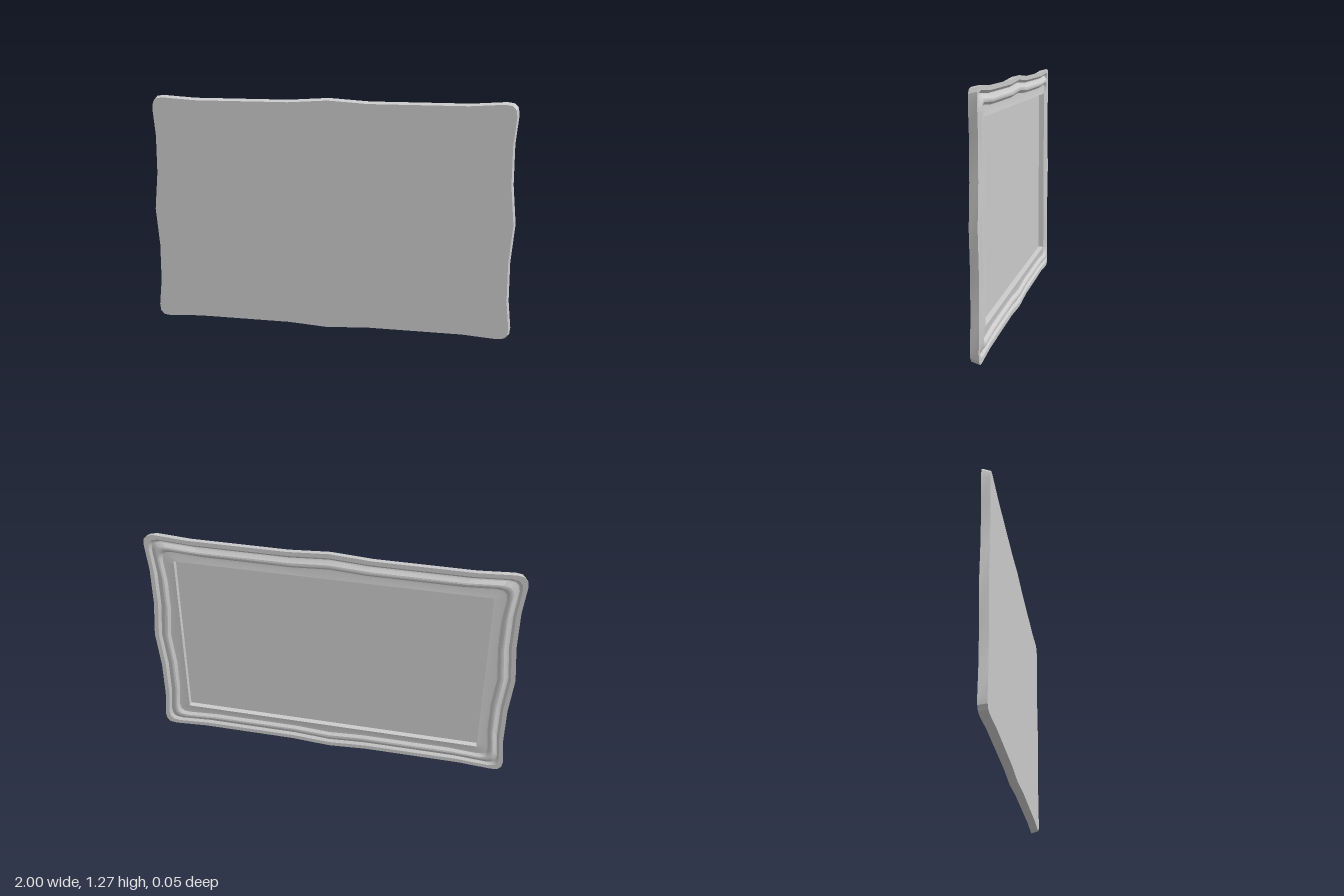
import * as THREE from 'three';
import { toCreasedNormals } from 'three/addons/utils/BufferGeometryUtils.js';

const HALF_W = 1, HALF_H = 0.637;

// One quarter of the wavy outline, from the right side's middle up to the top's middle
const QUARTER = [
  [1, 0], [0.981, 0.21], [0.981, 0.42], [0.996, 0.57], [0.991, 0.608],
  [0.972, 0.629], [0.935, 0.635], [0.75, 0.623], [0.22, 0.623], [0, 0.637],
];

// Mirror a quarter into a closed counter-clockwise loop
function mirrorLoop(q) {
  const flip = (pts, sx, sy) => pts.map(([x, y]) => [x * sx, y * sy]);
  const back = q.slice().reverse();
  return [
    ...q.slice(0, -1),
    ...flip(back, -1, 1).slice(0, -1),
    ...flip(q, -1, -1).slice(0, -1),
    ...flip(back, 1, -1).slice(0, -1),
  ];
}

// Wavy loop moved inward by d, at depth z
function wavyRing(d, z) {
  const sx = 1 - d / HALF_W, sy = 1 - d / HALF_H;
  return mirrorLoop(QUARTER).map(([x, y]) => [x * sx, y * sy + HALF_H, z]);
}

// Straight rectangular loop with the same number of points
function rectRing(w, h, z) {
  const q = QUARTER.map(([x, y], i) => (i < 4 ? [w, y * h / 0.608]
    : i < 6 ? [w, h] : [x * w / 0.972, h]));
  return mirrorLoop(q).map(([x, y]) => [x, y + HALF_H, z]);
}

// Join neighbouring loops with strips
function loft(rings) {
  const v = [];
  for (let r = 0; r < rings.length - 1; r++) {
    const a = rings[r], b = rings[r + 1];
    for (let i = 0; i < a.length; i++) {
      const j = (i + 1) % a.length;
      v.push(...a[i], ...b[i], ...b[j], ...a[i], ...b[j], ...a[j]);
    }
  }
  return v;
}

// Flat sheet filling a loop, facing +z or -z
function fill(ring, facing) {
  const v = [], c = [0, HALF_H, ring[0][2]];
  ring.forEach((p, i) => {
    const n = ring[(i + 1) % ring.length];
    v.push(...c, ...(facing > 0 ? p : n), ...(facing > 0 ? n : p));
  });
  return v;
}

function makeMesh(name, positions) {
  const g = new THREE.BufferGeometry();
  g.setAttribute('position', new THREE.Float32BufferAttribute(positions, 3));
  const m = new THREE.Mesh(toCreasedNormals(g, 0.45),
    new THREE.MeshStandardMaterial({ color: 0xcccccc }));
  m.name = name;
  return m;
}

export function createModel() {
  const group = new THREE.Group();
  group.name = 'pictureFrame';

  // Moulding profile as [inset, z]: outer side, rim, groove, ridge, inner step
  const profile = [
    [0.01, 0.025], [0, -0.018], [0.024, -0.018], [0.038, -0.006],
    [0.045, -0.008], [0.062, -0.023], [0.07, -0.025], [0.08, -0.023],
    [0.094, -0.01], [0.105, -0.01],
  ];
  const rings = profile.map(([d, z]) => wavyRing(d, z));
  const opening = rectRing(0.84, 0.488, -0.016);
  const floor = rectRing(0.84, 0.488, 0.015);

  group.add(makeMesh('moulding', loft([...rings, opening, floor])));
  group.add(makeMesh('flatFace', fill(rings[0], 1)));
  group.add(makeMesh('recessedPanel', fill(floor, -1)));
  return group;
}
